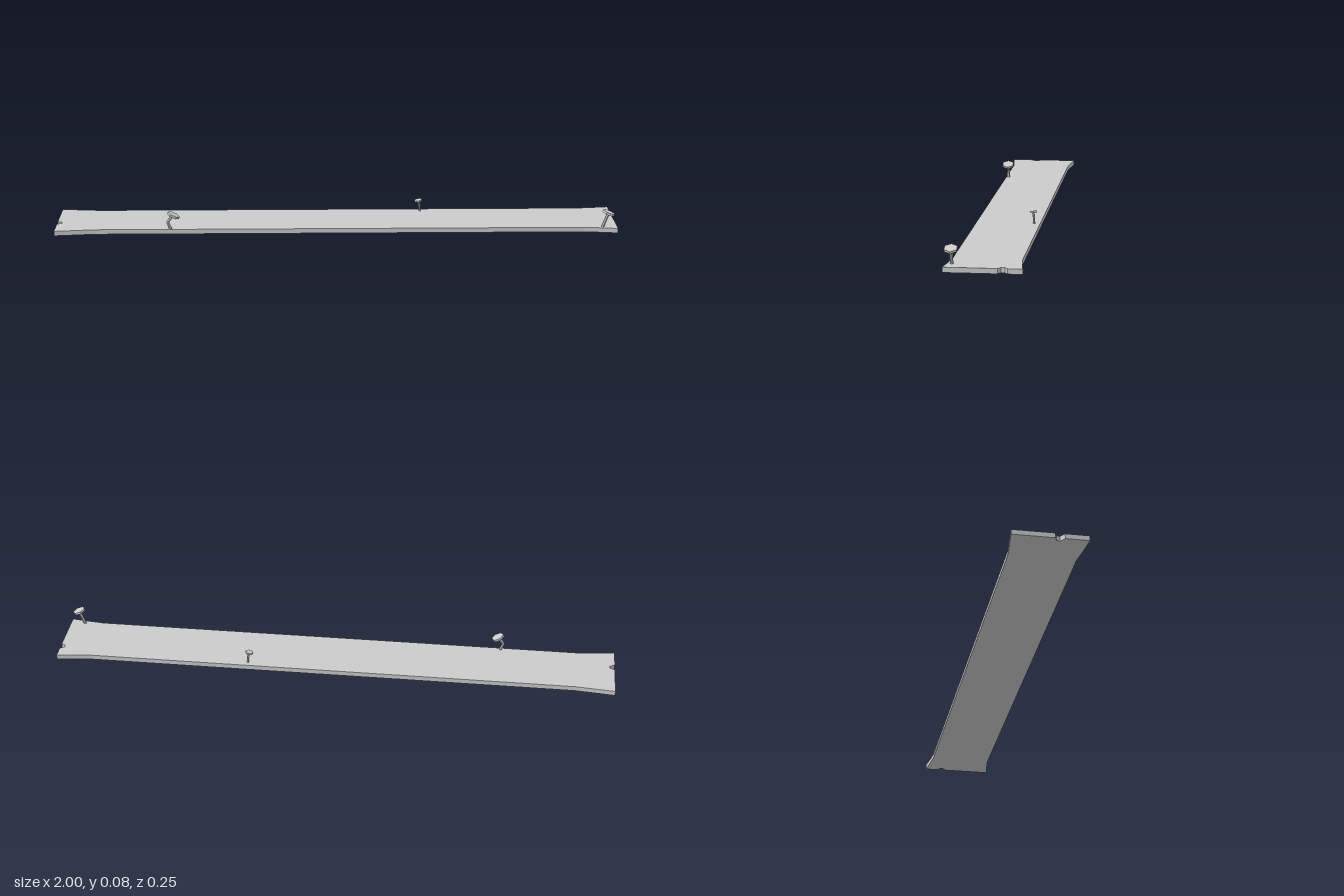
import * as THREE from 'three';

const THICKNESS = 0.017;
const grey = () => new THREE.MeshStandardMaterial({ color: 0xcccccc, flatShading: true });

// Plank with flared ends and a chipped notch in each end
function createPlank() {
  const outline = [
    [-1, -0.125], [-0.93, -0.118], [-0.86, -0.111], [0.88, -0.111], [0.94, -0.117], [1, -0.125],
    [1, -0.078], [0.985, -0.068], [0.984, -0.056], [1, -0.047],
    [1, 0.125], [0.94, 0.117], [0.88, 0.11], [-0.86, 0.11], [-0.93, 0.118], [-1, 0.125],
    [-1, 0.046], [-0.981, 0.033], [-0.984, 0.022], [-1, 0.015],
  ];
  const shape = new THREE.Shape(outline.map(([x, z]) => new THREE.Vector2(x, -z)));
  const geometry = new THREE.ExtrudeGeometry(shape, { depth: THICKNESS, bevelEnabled: false });
  geometry.rotateX(-Math.PI / 2);
  const plank = new THREE.Mesh(geometry, grey());
  plank.name = 'plank';
  return plank;
}

// Bent nail: a shank swept along the points, with a tilted hexagonal head on its tip
function createNail(name, points, shankRadius, headRadius, headHeight, headAxis) {
  const nail = new THREE.Group();
  nail.name = name;

  const path = new THREE.CatmullRomCurve3(points.map((p) => new THREE.Vector3(...p)));
  const shank = new THREE.Mesh(
    new THREE.TubeGeometry(path, (points.length - 1) * 2, shankRadius, 6, false), grey());
  shank.name = 'shank';

  const head = new THREE.Mesh(
    new THREE.CylinderGeometry(headRadius, headRadius, headHeight, 6), grey());
  head.name = 'head';
  head.geometry.rotateY(Math.PI / 2);
  head.position.set(...points[points.length - 1]);
  head.quaternion.setFromUnitVectors(
    new THREE.Vector3(0, 1, 0), new THREE.Vector3(...headAxis).normalize());

  nail.add(shank, head);
  return nail;
}

export function createModel() {
  const model = new THREE.Group();
  model.name = 'nailedPlank';
  model.add(createPlank());

  // Two large nails along the front edge, one small nail at the back
  model.add(createNail('bentNail',
    [[-0.588, 0.01, 0.102], [-0.592, 0.026, 0.102], [-0.599, 0.04, 0.102], [-0.578, 0.067, 0.102]],
    0.0055, 0.023, 0.008, [0.42, 0.9, 0]));
  model.add(createNail('leaningNail',
    [[0.946, 0.01, 0.102], [0.953, 0.03, 0.102], [0.967, 0.068, 0.102]],
    0.0055, 0.023, 0.008, [0.36, 0.93, 0]));
  model.add(createNail('smallNail',
    [[0.307, 0.01, -0.091], [0.306, 0.035, -0.089], [0.301, 0.057, -0.087]],
    0.004, 0.014, 0.006, [-0.2, 0.97, 0.06]));
  return model;
}
